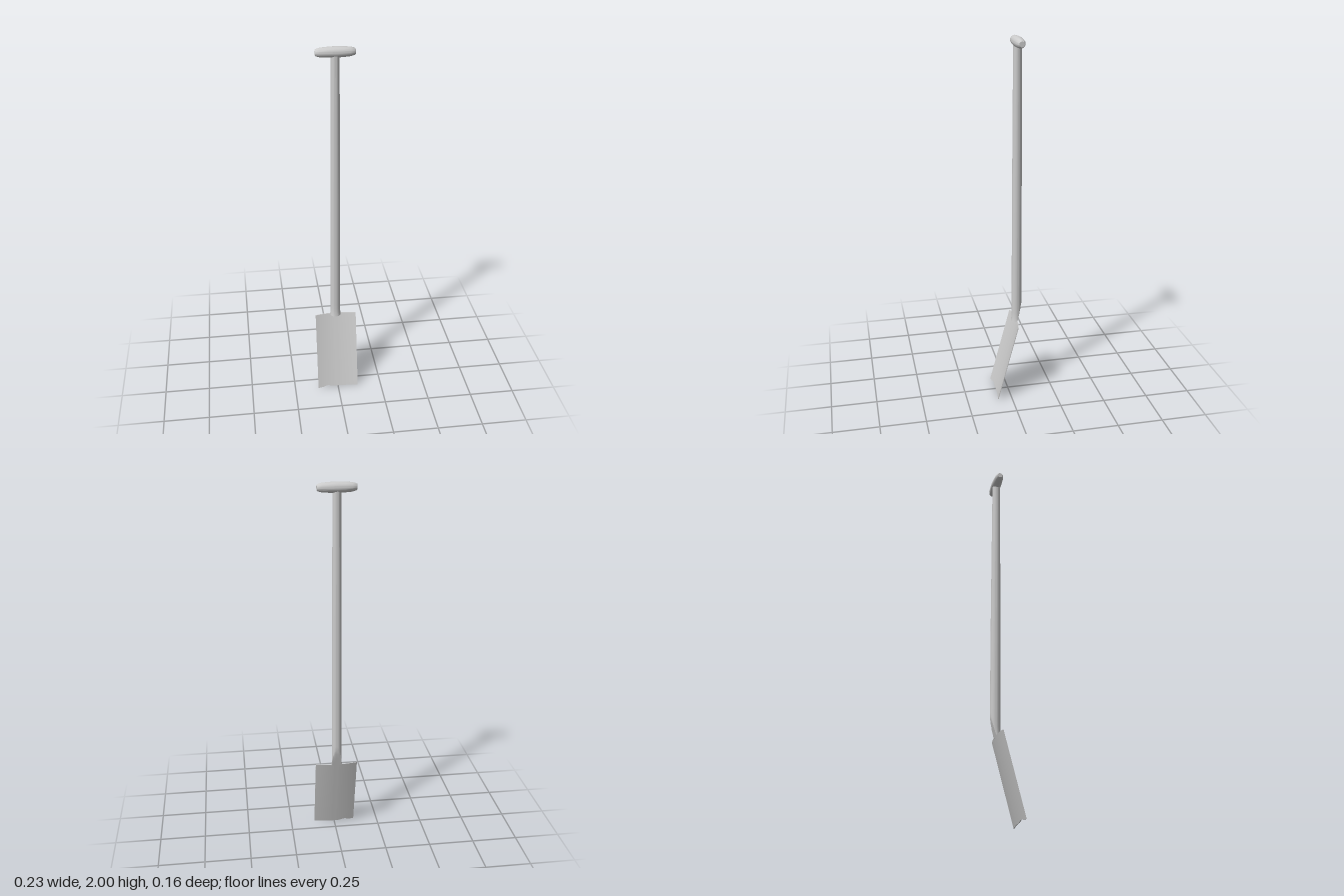
import * as THREE from 'three';
import { toCreasedNormals } from 'three/addons/utils/BufferGeometryUtils.js';

const material = new THREE.MeshStandardMaterial({ color: 0xcccccc, side: THREE.DoubleSide });
const SLOPE = 0.268; // forward lean of the blade
const TOP = 0.437; // upper edge of the blade

// Depth of the blade's middle line at height y
const bladeZ = (y) => -0.049 - (y - TOP) * SLOPE;

function part(name, geometry, rule) {
  if (rule) {
    const p = geometry.attributes.position;
    const v = new THREE.Vector3();
    for (let i = 0; i < p.count; i++) {
      rule(v.fromBufferAttribute(p, i));
      p.setXYZ(i, v.x, v.y, v.z);
    }
  }
  const mesh = new THREE.Mesh(toCreasedNormals(geometry, 0.5), material);
  mesh.name = name;
  return mesh;
}

const profile = (points) => points.map(([r, y]) => new THREE.Vector2(r, y));

export function createModel() {
  const group = new THREE.Group();
  group.name = 'spade';

  // Blade: thin leaning sheet, dished across its width, with a worn nick in the cutting edge
  group.add(part('blade', new THREE.BoxGeometry(0.231, TOP, 0.004, 24, 6, 1), (v) => {
    const t = (v.y + TOP / 2) / TOP;
    const u = v.x / 0.1155;
    const nick = 0.008 * Math.exp(-(((v.x + 0.06) / 0.02) ** 2));
    v.y = t * TOP + nick * Math.max(0, 1 - 3 * t);
    v.z += bladeZ(v.y) + (0.010 + 0.003 * t) * u * u;
  }));

  // Shaft: slightly tapered pole whose foot is cut at a slant to meet the blade
  const shaft = new THREE.LatheGeometry(profile([
    [0, 0.43], [0.031, 0.43], [0.028, 0.45], [0.027, 0.48], [0.027, 0.51],
    [0.027, 0.535], [0.027, 0.56], [0.026, 1.15], [0.023, 1.75], [0.022, 1.97],
  ]), 24);
  group.add(part('shaft', shaft, (v) => {
    v.z = Math.max(v.z - 0.05, bladeZ(v.y) - 0.002);
  }));

  // Grip: barrel-shaped crossbar with blunt ends
  const grip = new THREE.LatheGeometry(profile([
    [0, -0.1], [0.014, -0.1], [0.0175, -0.096], [0.0235, -0.075], [0.026, -0.04], [0.028, 0],
    [0.026, 0.04], [0.0235, 0.075], [0.0175, 0.096], [0.014, 0.1], [0, 0.1],
  ]), 24);
  grip.rotateZ(Math.PI / 2);
  grip.translate(0, 1.972, -0.051);
  group.add(part('grip', grip));

  return group;
}
